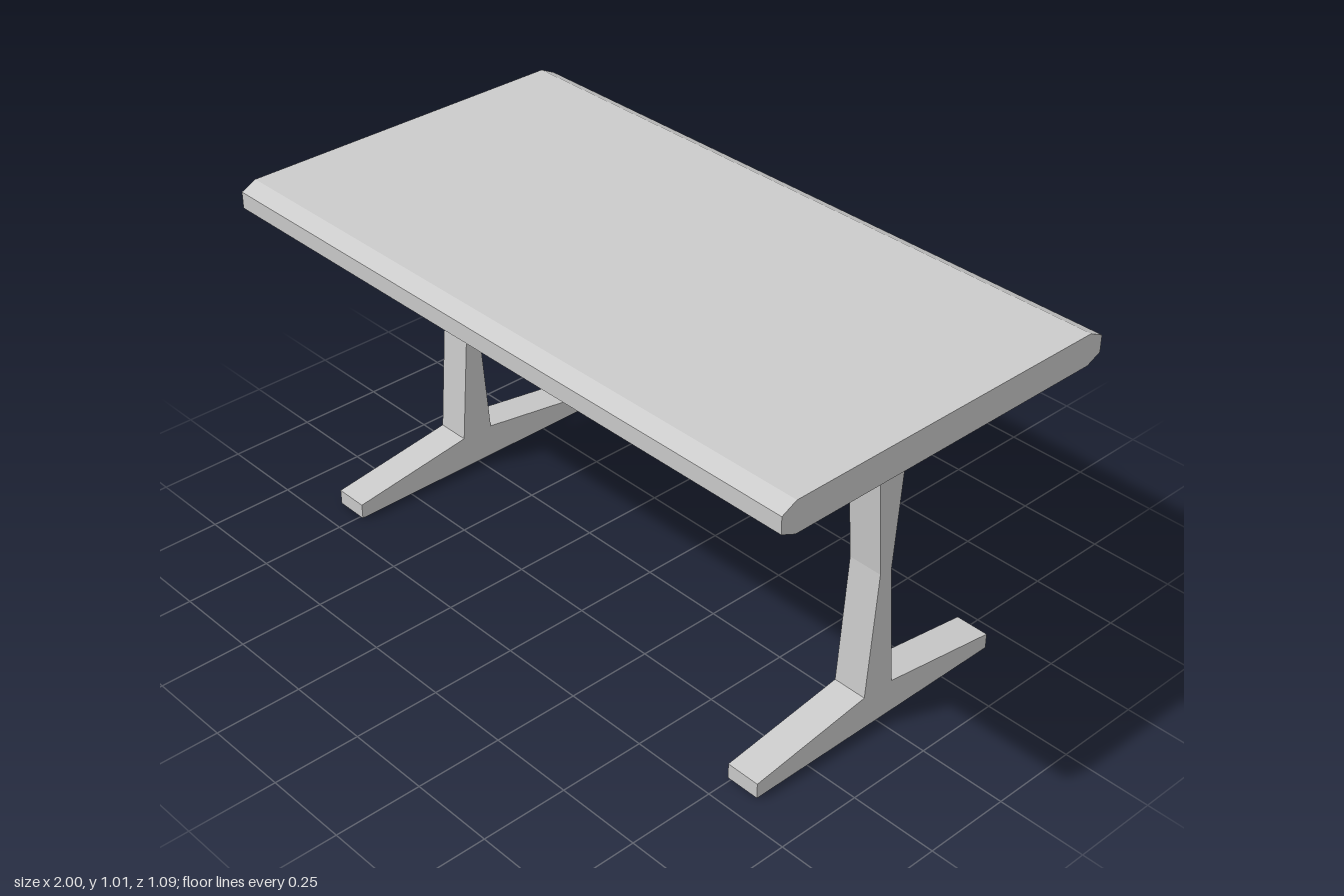
import * as THREE from 'three';

const material = new THREE.MeshStandardMaterial({ color: 0xcccccc, flatShading: true });

function addMesh(parent, name, geometry) {
  const mesh = new THREE.Mesh(geometry, material);
  mesh.name = name;
  parent.add(mesh);
  return mesh;
}

// Mirrors a half outline of [z, y] points and extrudes it along x, centred
function extrudeAlongX(half, width) {
  const outline = [...half, ...half.map(([z, y]) => [-z, y]).reverse()];
  const shape = new THREE.Shape(outline.map(([z, y]) => new THREE.Vector2(z, y)));
  return new THREE.ExtrudeGeometry(shape, { depth: width, bevelEnabled: false })
    .translate(0, 0, -width / 2)
    .rotateY(Math.PI / 2);
}

// Bracket that narrows and thins from the leg towards its tip
function bracketGeometry() {
  const geometry = new THREE.BoxGeometry(1, 1, 1);
  const pos = geometry.attributes.position;
  for (let i = 0; i < pos.count; i++) {
    const tip = pos.getZ(i) > 0;
    const bottom = tip ? 0.907 : 0.84;
    pos.setXYZ(i, pos.getX(i) * (tip ? 0.02 : 0.1),
      pos.getY(i) > 0 ? 0.917 : bottom, tip ? 0.463 : 0.05);
  }
  geometry.computeVertexNormals();
  return geometry;
}

export function createModel() {
  const table = new THREE.Group();
  table.name = 'table';

  // Top with bevelled long edges
  addMesh(table, 'tableTop', extrudeAlongX(
    [[0.5, 0.917], [0.545, 0.937], [0.545, 0.985], [0.5, 1.007]], 2));

  // Rail joining the two legs under the top
  addMesh(table, 'crossRail', new THREE.BoxGeometry(1.48, 0.077, 0.1))
    .position.y = 0.8785;

  // Waisted legs with a splayed foot and two brackets each
  const legGeometry = extrudeAlongX([[0.425, 0], [0.425, 0.045], [0.05, 0.1],
    [0.02, 0.47], [0.05, 0.84], [0.05, 0.917]], 0.1);
  const bracket = bracketGeometry();
  for (const side of [1, -1]) {
    const support = new THREE.Group();
    support.name = side > 0 ? 'leftSupport' : 'rightSupport';
    support.position.x = side * 0.79;
    addMesh(support, 'legAndFoot', legGeometry);
    addMesh(support, 'frontBracket', bracket);
    addMesh(support, 'backBracket', bracket).rotation.y = Math.PI;
    table.add(support);
  }
  return table;
}
